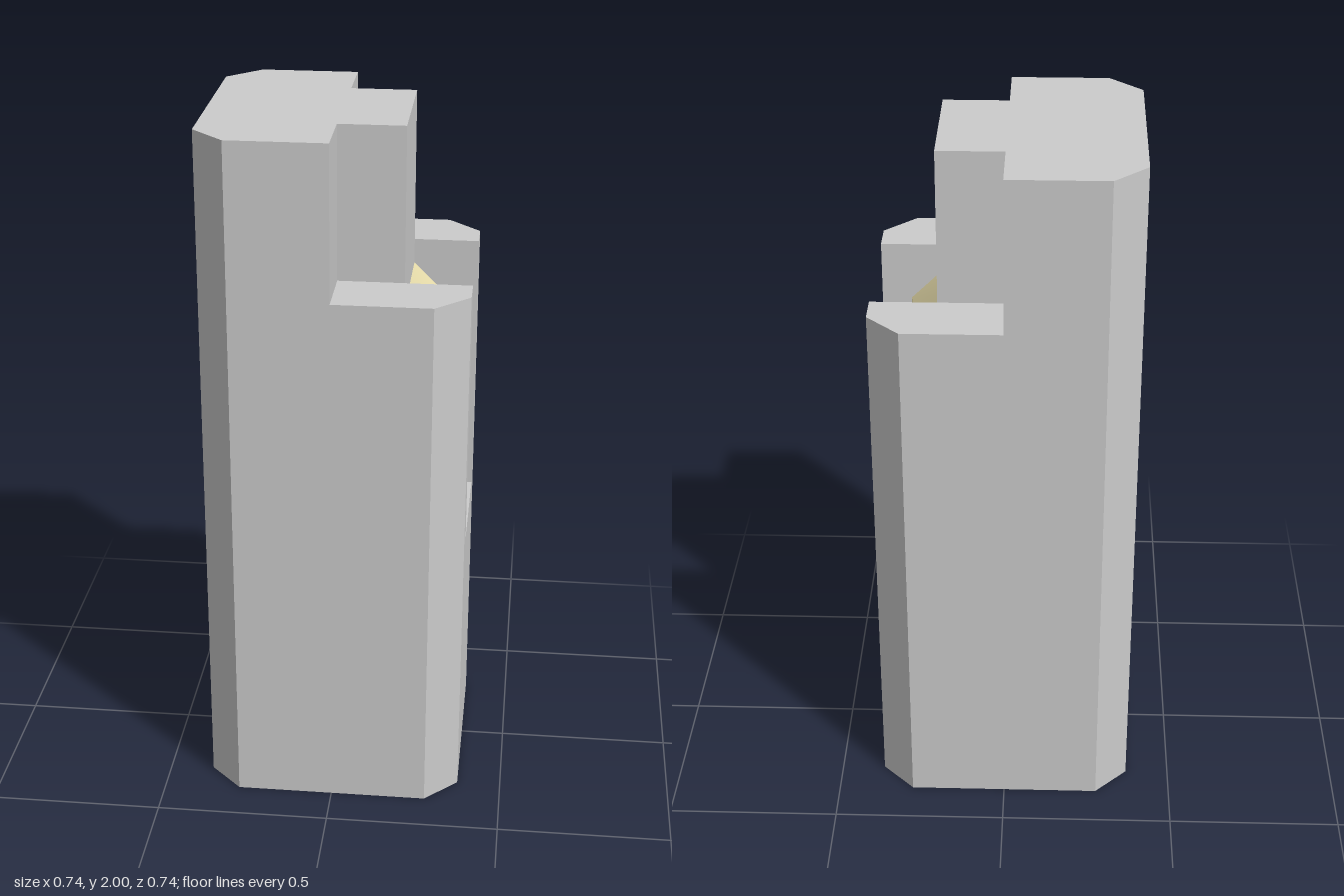
import * as THREE from 'three';

const R = 0.372;   // half width of the pillar
const C = 0.278;   // where the corner chamfers begin
const N = 0.186;   // half width of the notch and tongue
const FLOOR = 0.783, SHOULDER = 1.56, TOP = 2;

// Horizontal outline, given for its +z half from back to front and mirrored
function prism(name, half, y0, y1, material) {
  const mirrored = half.map(([x, z]) => [x, -z]).reverse();
  const shape = new THREE.Shape([...half, ...mirrored].map(([x, z]) => new THREE.Vector2(x, z)));
  const geometry = new THREE.ExtrudeGeometry(shape, { depth: y1 - y0, bevelEnabled: false });
  geometry.rotateX(-Math.PI / 2).translate(0, y0, 0);
  const mesh = new THREE.Mesh(geometry, material);
  mesh.name = name;
  return mesh;
}

// Surface through rows of points, listed downward, each row from +z to -z
function sheet(name, rows, material) {
  const cols = rows[0].length, index = [];
  for (let r = 0; r < rows.length - 1; r++) {
    for (let c = 0; c < cols - 1; c++) {
      const a = r * cols + c, b = a + cols;
      index.push(a, b, a + 1, b, b + 1, a + 1);
    }
  }
  const geometry = new THREE.BufferGeometry();
  geometry.setAttribute('position', new THREE.Float32BufferAttribute(rows.flat(2), 3));
  geometry.setIndex(index);
  geometry.computeVertexNormals();
  const mesh = new THREE.Mesh(geometry, material);
  mesh.name = name;
  return mesh;
}

export function createModel() {
  const model = new THREE.Group();
  model.name = 'notchedPillar';
  const stone = new THREE.MeshStandardMaterial({ color: 0xcccccc, flatShading: true });
  const amber = new THREE.MeshStandardMaterial({ color: 0xe7dcaa, side: THREE.DoubleSide });

  // Chamfered pillar: solid base, notched middle, stepped top with a tongue
  const back = [[-R, C], [-C, R]];
  model.add(
    prism('base', [...back, [C, R], [R, C]], 0, FLOOR, stone),
    prism('notchedShaft', [...back, [C, R], [R, C], [R, N], [N, N]], FLOOR, SHOULDER, stone),
    prism('steppedTop', [...back, [0, R], [0, N], [N, N]], SHOULDER, TOP, stone),
  );

  // Inset panel: slightly bowed front under a sloping, dipped top
  const row = (x, y, xMid = x, yMid = y) => [[x, y, N], [xMid, yMid, 0], [x, y, -N]];
  const rim = row(0.286, 1.39, 0.271, 1.375);
  const panel = new THREE.Group();
  panel.name = 'insetPanel';
  panel.add(
    sheet('panelTop', [row(N, 1.488), rim], amber),
    sheet('panelFront', [rim, row(0.295, 1.21), row(0.295, FLOOR)], amber),
  );
  model.add(panel);
  return model;
}
